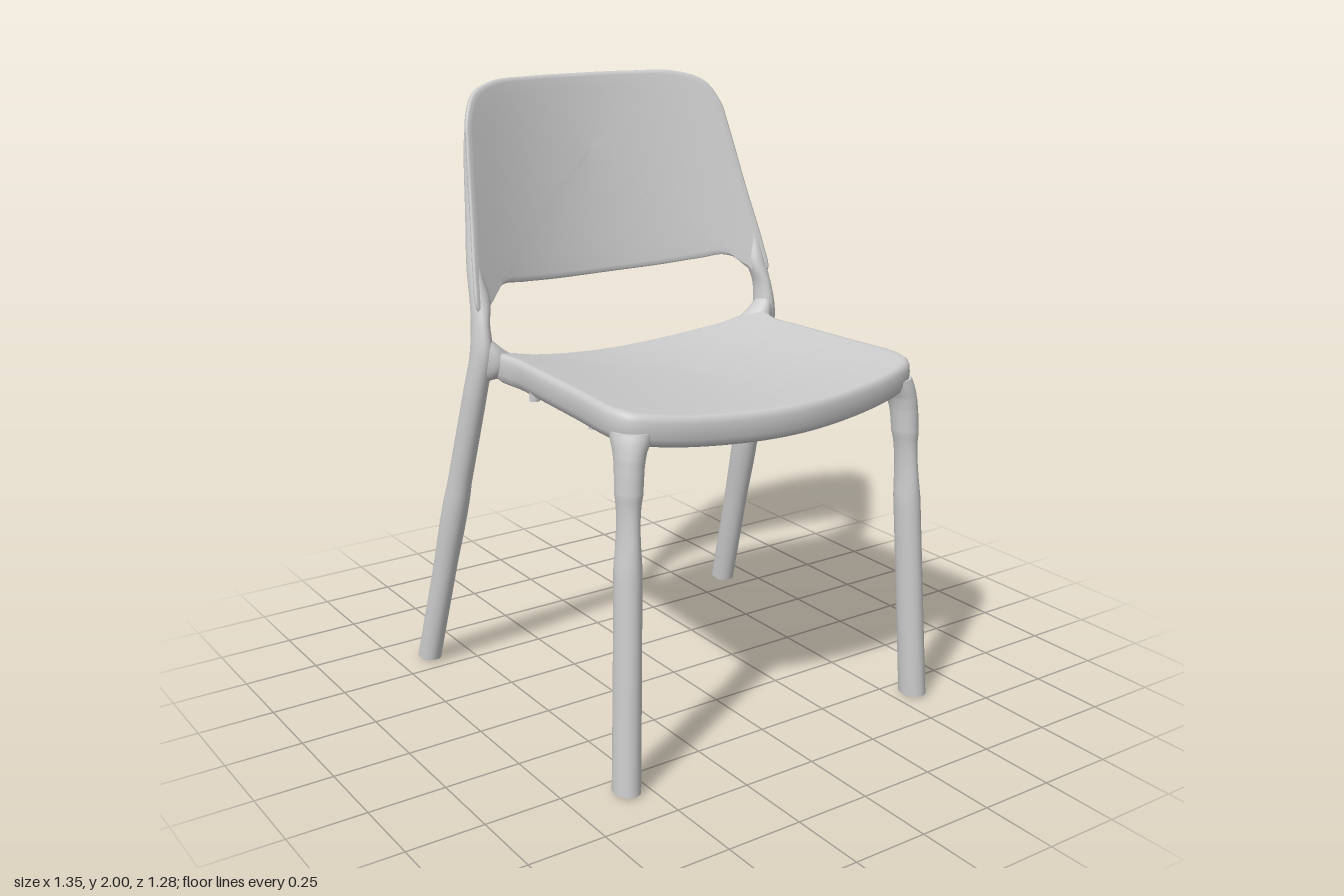
import * as THREE from 'three';

// Skin a list of equal-length closed rings of Vector3 with smooth normals
function skin(rings) {
  const n = rings[0].length, pos = [], idx = [];
  for (const ring of rings) for (const p of ring) pos.push(p.x, p.y, p.z);
  for (let i = 0; i < rings.length - 1; i++) {
    for (let j = 0; j < n; j++) {
      const k = (j + 1) % n, a = i * n + j, b = a + n, c = (i + 1) * n + k, d = i * n + k;
      idx.push(a, b, c, a, c, d);
    }
  }
  const g = new THREE.BufferGeometry();
  g.setAttribute('position', new THREE.Float32BufferAttribute(pos, 3));
  g.setIndex(idx);
  g.computeVertexNormals();
  return g;
}

// Tapered bar through stations [x, y, z, r1, r2]; sections lie across axis 'x' or 'y'
function bar(stations, axis, steps = 60, sides = 28) {
  const path = new THREE.CatmullRomCurve3(stations.map(s => new THREE.Vector3(s[0], s[1], s[2])));
  const size = new THREE.CatmullRomCurve3(stations.map(s => new THREE.Vector3(s[3], s[4], 0)));
  const rings = [];
  for (let i = 0; i <= steps; i++) {
    const p = path.getPoint(i / steps), r = size.getPoint(i / steps), ring = [];
    for (let j = 0; j < sides; j++) {
      const t = j / sides * Math.PI * 2, c = Math.cos(t), s = Math.sin(t);
      ring.push(axis === 'y'
        ? new THREE.Vector3(p.x + r.x * c, p.y, p.z + r.y * s)
        : new THREE.Vector3(p.x, p.y + r.x * s, p.z + r.y * c));
    }
    rings.push(ring);
  }
  // flat, crisp end caps
  const cap = (ring, p) => [ring.map(() => p.clone()), ring.map(v => v.clone())];
  const start = cap(rings[0], path.getPoint(0));
  const end = cap(rings[steps], path.getPoint(1)).reverse();
  return skin([...start, ...rings, ...end]);
}

// Closed shell: a mirrored outline shrunk to its centre, with profile [scale, offset]
function shell(half, centre, profile, place) {
  const other = half.slice(1, -1).reverse().map(([x, v]) => [-x, v]);
  const curve = new THREE.CatmullRomCurve3(
    [...half, ...other].map(([x, v]) => new THREE.Vector3(x, v, 0)), true);
  const pts = curve.getPoints(224).slice(0, -1);
  return skin(profile.map(([s, off]) =>
    pts.map(p => place(p.x * s, centre + (p.y - centre) * s, off))));
}

export function createModel() {
  const chair = new THREE.Group();
  const grey = new THREE.MeshStandardMaterial({ color: 0xcccccc });
  grey.name = 'light grey plastic';
  const add = (name, geometry) => {
    const m = new THREE.Mesh(geometry, grey);
    m.name = name;
    chair.add(m);
    return m;
  };

  // Seat: dished top, rounded edge, thin centre inside a deep rim
  const seatTop = (x, z) =>
    1.178 - 0.022 * z - (0.078 - 0.055 * z) * Math.max(0, 1 - (x / 0.55) ** 2);
  const seatOutline = [
    [0, 0.645], [0.25, 0.625], [0.46, 0.585], [0.53, 0.55], [0.557, 0.49], [0.545, 0.25],
    [0.53, 0], [0.523, -0.13], [0.535, -0.185], [0.54, -0.23], [0.48, -0.267], [0.4, -0.285],
    [0.3, -0.323], [0.15, -0.36], [0, -0.372],
  ];
  const seatProfile = [
    [0, 0], [0.2, 0], [0.4, 0], [0.6, 0], [0.8, 0], [0.95, 0], [0.975, -0.003], [0.99, -0.011],
    [0.998, -0.024], [1, -0.045], [0.996, -0.072], [0.983, -0.09], [0.96, -0.098],
    [0.915, -0.098], [0.905, -0.09], [0.895, -0.025], [0.6, -0.022], [0.3, -0.022], [0, -0.022],
  ];
  add('seat', shell(seatOutline, 0.13, seatProfile,
    (x, z, off) => new THREE.Vector3(x, seatTop(x, z) + off, z)));

  // Backrest: curved leaning panel with a thick rim and recessed rear
  const backFront = (x, y) => -0.402 - 0.255 * (y - 1.35) + 0.45 * x * x;
  const backOutline = [
    [0, 1.34], [0.2, 1.344], [0.36, 1.357], [0.44, 1.365], [0.495, 1.346], [0.53, 1.312],
    [0.555, 1.29], [0.58, 1.31], [0.575, 1.4], [0.545, 1.6], [0.517, 1.8], [0.5, 1.89],
    [0.455, 1.962], [0.36, 1.995], [0.2, 2], [0, 2],
  ];
  const backProfile = [
    [0, 0], [0.2, 0], [0.4, 0], [0.6, 0], [0.8, 0], [0.95, 0], [0.985, -0.002], [0.997, -0.008],
    [1, -0.015], [0.99, -0.026], [0.965, -0.031], [0.935, -0.029], [0.91, -0.016],
    [0.7, -0.014], [0.45, -0.014], [0.2, -0.014], [0, -0.014],
  ];
  add('backrest', shell(backOutline, 1.75, backProfile,
    (x, y, off) => new THREE.Vector3(x, y, backFront(x, y) + off)));

  // Rear rail under the seat, flaring into the rear legs
  const railHalf = [
    [0.575, 1.158, -0.255, 0.092, 0.04], [0.54, 1.147, -0.245, 0.066, 0.052],
    [0.5, 1.127, -0.243, 0.05, 0.05], [0.44, 1.1, -0.248, 0.042, 0.044],
    [0.25, 1.053, -0.285, 0.04, 0.04],
  ];
  add('rearRail', bar([
    ...railHalf.map(([x, ...r]) => [-x, ...r]),
    [0, 1.025, -0.322, 0.04, 0.04],
    ...railHalf.slice().reverse(),
  ], 'x', 80));

  for (const side of [1, -1]) {
    const label = side > 0 ? 'left' : 'right';
    const sided = list => list.map(([x, ...r]) => [side * x, ...r]);

    // Front leg, straight up to a flare into the seat corner
    add(label + 'FrontLeg', bar(sided([
      [0.571, 0.008, 0.582, 0.041, 0.05], [0.555, 0.35, 0.567, 0.04, 0.049],
      [0.539, 0.7, 0.551, 0.039, 0.049], [0.528, 0.92, 0.541, 0.039, 0.049],
      [0.522, 1.0, 0.536, 0.041, 0.051], [0.515, 1.04, 0.528, 0.046, 0.057],
      [0.501, 1.075, 0.514, 0.058, 0.068], [0.487, 1.1, 0.5, 0.068, 0.078],
    ]), 'y', 70));

    // Rear leg, continuing up as the backrest edge
    add(label + 'RearLeg', bar(sided([
      [0.64, 0.008, -0.59, 0.037, 0.05], [0.62, 0.35, -0.488, 0.037, 0.05],
      [0.6, 0.7, -0.384, 0.037, 0.05], [0.58, 1.03, -0.287, 0.036, 0.049],
      [0.567, 1.17, -0.257, 0.034, 0.048], [0.563, 1.26, -0.266, 0.027, 0.042],
      [0.551, 1.335, -0.287, 0.032, 0.036], [0.552, 1.42, -0.315, 0.022, 0.032],
      [0.528, 1.6, -0.372, 0.016, 0.026], [0.502, 1.8, -0.432, 0.01, 0.017],
      [0.488, 1.88, -0.456, 0.004, 0.007],
    ]), 'y', 90));

    // Foot glides
    for (const [x, z, name] of [[0.571, 0.582, 'FrontGlide'], [0.64, -0.59, 'RearGlide']]) {
      add(label + name, new THREE.CylinderGeometry(0.032, 0.03, 0.012, 20))
        .position.set(side * x, 0.006, z);
    }

    // Small stacking studs under the side rails
    for (const z of [0.32, -0.03]) {
      add(label + 'Stud', new THREE.CylinderGeometry(0.016, 0.016, 0.03, 16))
        .position.set(side * 0.505, 1.07, z);
    }
  }
  return chair;
}
